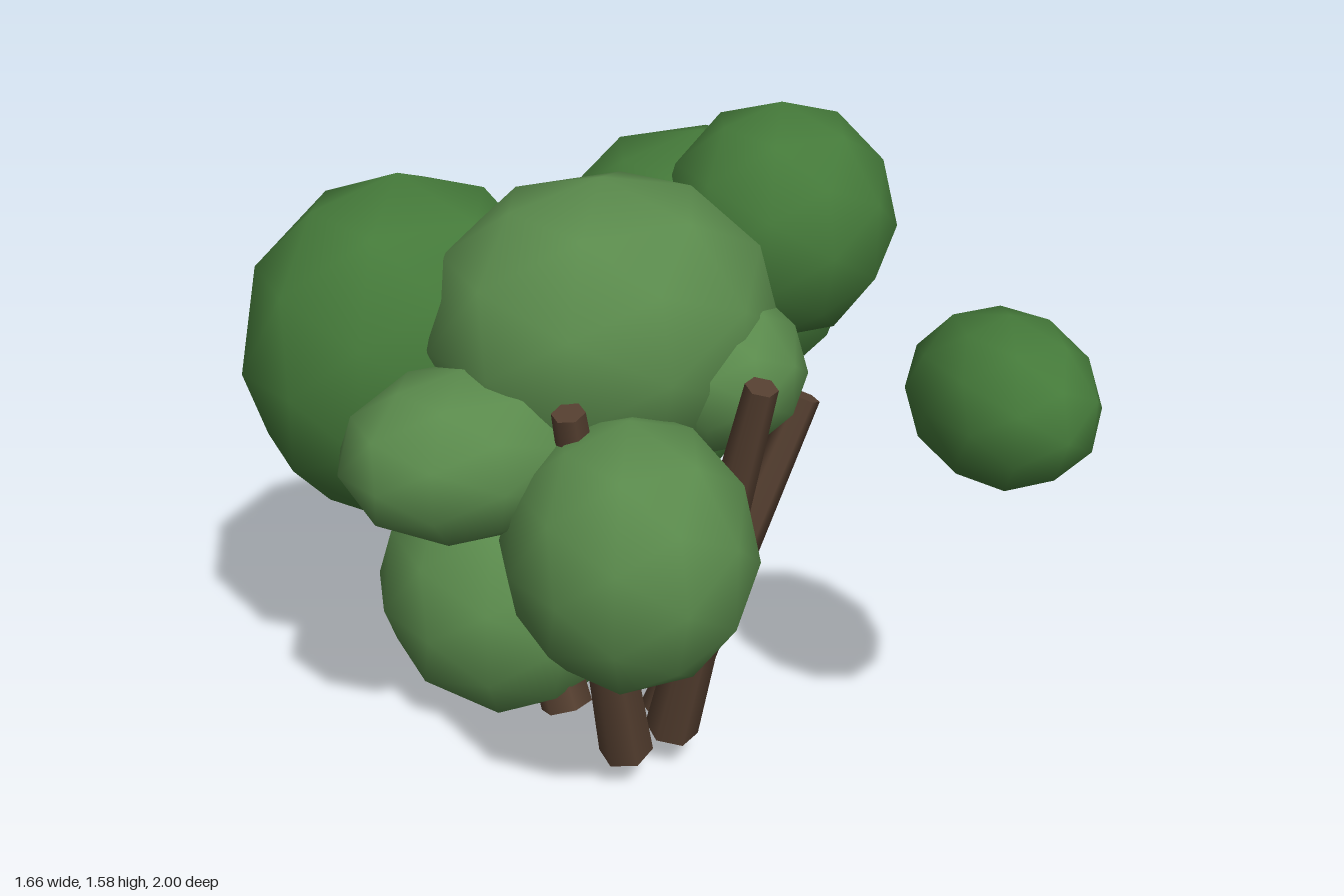
import * as THREE from 'three';

export function createModel() {
  const tree = new THREE.Group();
  tree.name = 'tree';
  const bark = new THREE.MeshStandardMaterial({ color: 0x553f30 });
  const darkLeaf = new THREE.MeshStandardMaterial({ color: 0x457a3a });
  const lightLeaf = new THREE.MeshStandardMaterial({ color: 0x5a8a4c });

  // Foliage: stretched low-poly balls with smooth normals
  const ball = new THREE.IcosahedronGeometry(1, 1);
  const addClump = (name, material, centre, radii) => {
    const mesh = new THREE.Mesh(ball, material);
    mesh.name = name;
    mesh.position.set(...centre);
    mesh.scale.set(...radii);
    tree.add(mesh);
  };
  addClump('crownClump', lightLeaf, [-0.04, 1.17, 0.06], [0.435, 0.36, 0.39]);
  addClump('rightBackClump', darkLeaf, [-0.42, 1.04, -0.27], [0.41, 0.447, 0.355]);
  addClump('leftTopClump', darkLeaf, [0.53, 1.27, -0.14], [0.3, 0.307, 0.295]);
  addClump('leftBackClump', darkLeaf, [0.425, 1.09, -0.38], [0.405, 0.357, 0.43]);
  addClump('lowLeftBackClump', darkLeaf, [0.485, 0.58, -0.715], [0.265, 0.317, 0.285]);
  addClump('lowBackClump', lightLeaf, [-0.18, 0.33, -0.23], [0.345, 0.33, 0.365]);
  addClump('frontClump', lightLeaf, [-0.15, 0.785, 0.465], [0.295, 0.33, 0.315]);
  addClump('rightSideClump', lightLeaf, [-0.43, 0.97, 0.19], [0.31, 0.205, 0.24]);
  addClump('innerFrontClump', lightLeaf, [0.18, 1.08, 0.2], [0.22, 0.2, 0.26]);
  addClump('floatingClump', darkLeaf, [0.63, 1.143, 0.742], [0.2, 0.198, 0.253]);

  // Trunks: tapered six-sided stems spreading from the base
  const up = new THREE.Vector3(0, 1, 0);
  const addTrunk = (name, base, top) => {
    const a = new THREE.Vector3(...base);
    const b = new THREE.Vector3(...top);
    const axis = b.clone().sub(a);
    const mesh = new THREE.Mesh(new THREE.CylinderGeometry(0.039, 0.068, axis.length(), 6), bark);
    mesh.name = name;
    mesh.position.copy(a).add(b).multiplyScalar(0.5);
    mesh.quaternion.setFromUnitVectors(up, axis.normalize());
    tree.add(mesh);
  };
  addTrunk('frontRightTrunk', [-0.07, 0.1, 0.28], [-0.27, 1.13, 0.405]);
  addTrunk('frontLeftTrunk', [0.075, 0.1, 0.24], [0.165, 1.145, 0.485]);
  addTrunk('leftTrunk', [0.09, 0.1, 0.17], [0.445, 0.94, 0.19]);
  addTrunk('backLeftTrunk', [0.1, 0.1, 0.01], [0.24, 0.875, -0.12]);
  addTrunk('backRightTrunk', [-0.13, 0.1, 0.04], [-0.25, 0.98, -0.27]);

  return tree;
}
